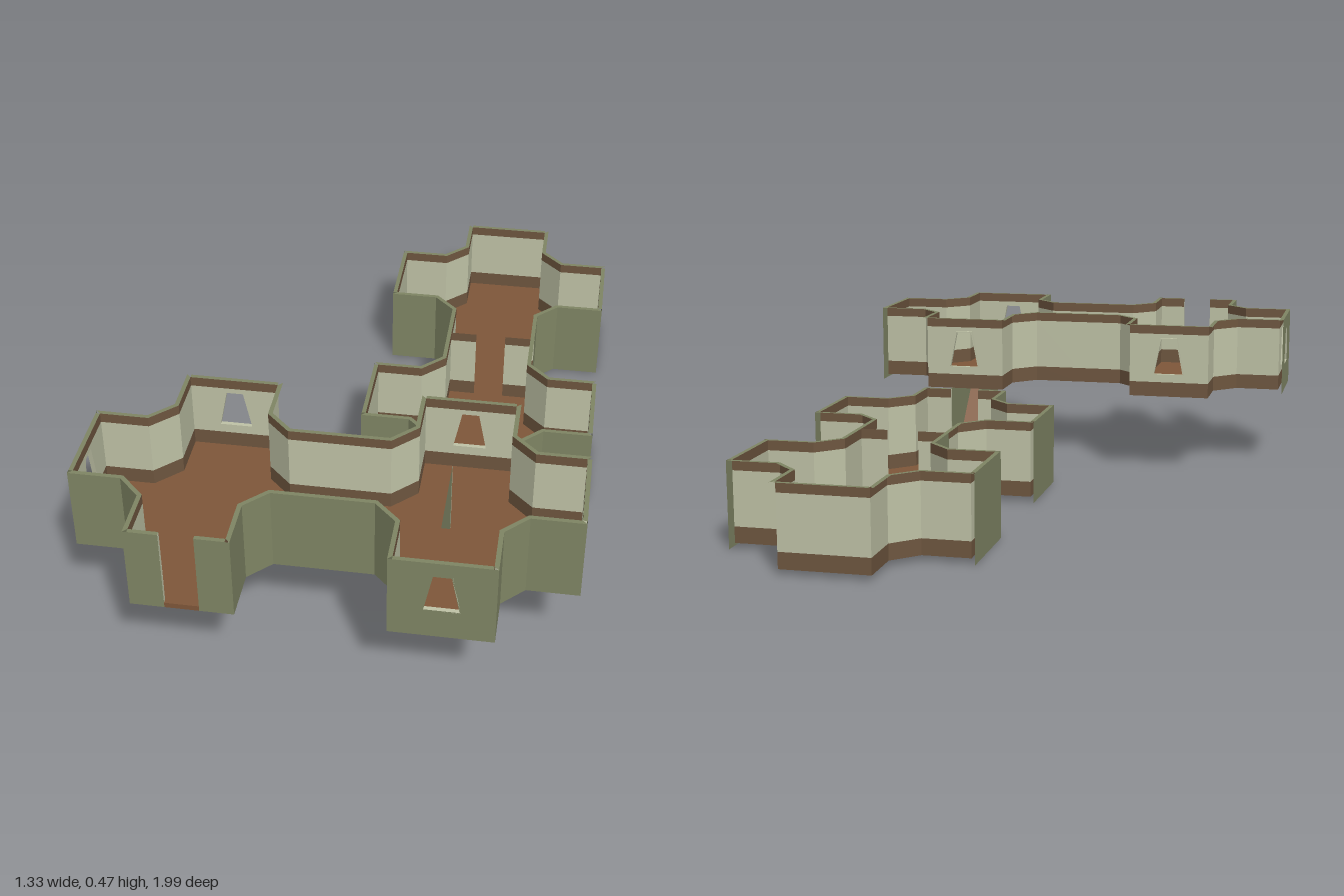
import * as THREE from 'three';

const paint = (name, color) => {
  const m = new THREE.MeshStandardMaterial({ color, side: THREE.DoubleSide });
  m.name = name;
  return m;
};
const green = paint('olive outer wall', 0x7f8564);
const pale = paint('pale inner wall', 0xbfc2a6);
const trim = paint('brown trim', 0x6e563f);
const earth = paint('earth floor', 0x7f573a);

// Room plan: end distance, arm half width and chamfer start, inside and outside
const IN = { end: 0.323, arm: 0.123, cut: 0.19 };
const OUT = { end: 0.335, arm: 0.135, cut: 0.195 };
const JOIN = 0.3285;          // where two rooms meet
const TOP = 0.24, FLOOR = 0.015, LOW = 0.06, HIGH = 0.212;
const DOOR = 0.045;           // half width of doors, windows and ramp
const SILL = 0.087, HEAD = 0.197;

function add(group, geo, mat, name) {
  const mesh = new THREE.Mesh(geo, mat);
  mesh.name = name;
  group.add(mesh);
  return mesh;
}
const poly = pts => new THREE.Shape(pts.map(p => new THREE.Vector2(p[0], p[1])));
const rect = (x0, y0, x1, y1) => poly([[x0, y0], [x1, y0], [x1, y1], [x0, y1]]);
const flat = shapes => new THREE.ShapeGeometry(shapes).rotateX(Math.PI / 2);   // plan (x, z)
const windowPts = (c, g = 0) => [[c - DOOR - g, SILL - g], [c + DOOR + g, SILL - g],
  [c + 0.023 + g, HEAD + g], [c - 0.023 - g, HEAD + g]];

// Upright panel between two plan points, with an optional central opening
function panel(group, a, b, y0, y1, mat, name, opening) {
  const dx = b[0] - a[0], dz = b[1] - a[1], len = Math.hypot(dx, dz);
  let shapes = [rect(0, y0, len, y1)];
  if (opening === 'door') {
    shapes = [rect(0, y0, len / 2 - DOOR, y1), rect(len / 2 + DOOR, y0, len, y1)];
  } else if (opening === 'window' && y0 < SILL && y1 > HEAD) {
    shapes[0].holes.push(poly(windowPts(len / 2)));
  }
  const mesh = add(group, new THREE.ShapeGeometry(shapes), mat, name);
  mesh.position.set(a[0], 0, a[1]);
  mesh.rotation.y = Math.atan2(-dz, dx);
}

function innerWall(group, a, b, opening) {
  panel(group, a, b, FLOOR, LOW, trim, 'lowerTrim', opening);
  panel(group, a, b, LOW, HIGH, pale, 'innerWall', opening);
  panel(group, a, b, HIGH, TOP, trim, 'upperTrim', opening);
}

// Chamfered corner between two arms, as a plan path
const cornerPath = (s, sx, sz, ex, ez) => [[sx * ex, sz * s.arm], [sx * s.cut, sz * s.arm],
  [sx * s.arm, sz * s.cut], [sx * s.arm, sz * ez]];

// Frame lining a window or door, set between the two wall skins
function lining(arm, opening) {
  if (opening === 'window') {
    const ring = poly(windowPts(0, 0.003));
    ring.holes.push(poly(windowPts(0)));
    add(arm, new THREE.ExtrudeGeometry(ring, { depth: 0.012, bevelEnabled: false }), pale, 'windowFrame')
      .position.z = IN.end;
  } else if (opening === 'door') {
    for (const s of [-1, 1]) {
      add(arm, new THREE.BoxGeometry(0.003, TOP - 0.004, 0.011), pale, 'doorJamb')
        .position.set(s * (DOOR + 0.0015), TOP / 2, 0.329);
    }
    add(arm, new THREE.BoxGeometry(2 * DOOR, FLOOR, 0.012), earth, 'doorSill')
      .position.set(0, FLOOR / 2, 0.329);
  }
}

// ends: what closes each arm; 'open' and 'shared' arms join a neighbouring room
function room(name, ends, hasRamp) {
  const g = new THREE.Group();
  g.name = name;
  const joined = k => ends[k] === 'open' || ends[k] === 'shared';
  const reach = (k, s) => (joined(k) ? JOIN : s.end);

  // Corners
  const outline = [];
  for (const [sx, sz] of [[1, 1], [-1, 1], [-1, -1], [1, -1]]) {
    const kx = sx > 0 ? 'east' : 'west', kz = sz > 0 ? 'south' : 'north';
    const inner = cornerPath(IN, sx, sz, reach(kx, IN), reach(kz, IN));
    const outer = cornerPath(OUT, sx, sz, reach(kx, OUT), reach(kz, OUT));
    for (let i = 0; i < 3; i++) {
      innerWall(g, inner[i], inner[i + 1]);
      if (sz > 0) panel(g, outer[i], outer[i + 1], 0, TOP, green, 'outerWall');
    }
    add(g, flat(poly([...outer, ...inner.slice().reverse()])), green, 'wallTop').position.y = TOP;
    outline.push(...(sx * sz > 0 ? inner : inner.slice().reverse()));
  }

  // Arm ends, each built facing +z and turned into place
  const turn = { south: 0, east: Math.PI / 2, north: Math.PI, west: -Math.PI / 2 };
  for (const k in turn) {
    if (ends[k] === 'open') continue;
    const arm = new THREE.Group();
    arm.name = k + 'Arm';
    arm.rotation.y = turn[k];
    g.add(arm);
    const z = reach(k, IN);
    const opening = ends[k] === 'shared' ? 'door' : ends[k];
    innerWall(arm, [-IN.arm, z], [IN.arm, z], opening);
    if (joined(k)) continue;
    if (k !== 'north') {
      panel(arm, [-OUT.arm, OUT.end], [OUT.arm, OUT.end], 0, TOP, green, 'outerWall', opening);
    }
    const tops = opening === 'door'
      ? [rect(-IN.arm, IN.end, -DOOR, OUT.end), rect(DOOR, IN.end, IN.arm, OUT.end)]
      : [rect(-IN.arm, IN.end, IN.arm, OUT.end)];
    add(arm, flat(tops), green, 'wallTop').position.y = TOP;
    lining(arm, opening);
  }

  // Floor, cut away above the ramp
  const floor = poly(outline);
  if (hasRamp) floor.holes.push(rect(-DOOR, -0.322, DOOR, -0.055));
  add(g, flat(floor), earth, 'floor').position.y = FLOOR;
  return g;
}

// Profile in (z, y) given a width along x
function slab(group, pts, x, width, mat, name) {
  const geo = new THREE.ExtrudeGeometry(poly(pts), { depth: width, bevelEnabled: false });
  add(group, geo.rotateY(-Math.PI / 2), mat, name).position.x = x + width / 2;
}

export function createModel() {
  const model = new THREE.Group();
  model.name = 'fourRoomDwelling';
  const body = new THREE.Group();
  body.name = 'rooms';
  body.rotation.y = 0.012;
  model.add(body);

  const X = 0.318, UP = 0.228;
  const place = (r, x, y, z) => { r.position.set(x, y, z); body.add(r); };
  place(room('lowerBackRoom', { north: 'wall', east: 'wall', west: 'wall', south: 'shared' }), X, 0, -0.66);
  place(room('lowerFrontRoom', { north: 'open', east: 'wall', west: 'wall', south: 'door' }), X, 0, -0.003);
  place(room('upperLeftRoom', { north: 'window', east: 'window', south: 'window', west: 'open' }, true), X, UP, 0.654);
  place(room('upperRightRoom', { north: 'window', west: 'window', south: 'door', east: 'open' }), X - 0.657, UP, 0.654);

  // Ramp between the two levels
  const ramp = new THREE.Group();
  ramp.name = 'ramp';
  body.add(ramp);
  slab(ramp, [[0.332, 0.011], [0.392, 0.011], [0.6, 0.239], [0.6, 0.243], [0.39, 0.015], [0.332, 0.015]],
    X, 2 * DOOR, earth, 'rampFloor');
  for (const s of [-1, 1]) {
    slab(ramp, [[0.332, 0.011], [0.392, 0.011], [0.6, 0.24], [0.332, 0.24]],
      X + s * (DOOR + 0.002), 0.003, green, 'rampSide');
  }
  return model;
}
